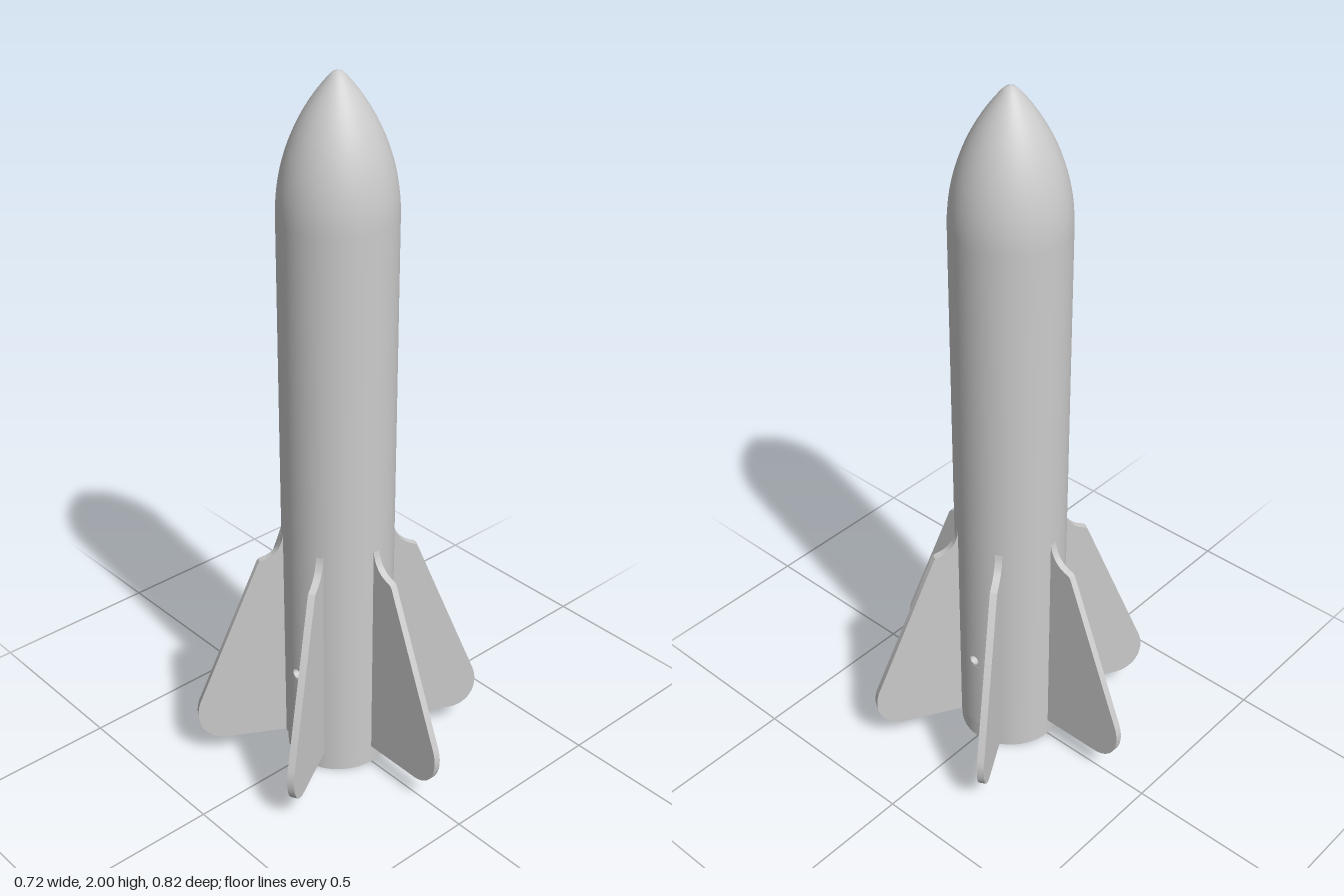
import * as THREE from 'three';
import { mergeGeometries, toCreasedNormals } from 'three/addons/utils/BufferGeometryUtils.js';

const R = 0.155, INNER = 0.135, RING = 0.145; // body, bore and tail ring radii
const BASE = 0.065, SHOULDER = 1.64;          // bottom and top of the body tube
const PIN_Y = 0.31, PIN_R = 0.015;            // cross hole through the tube
const SEGS = 48, STEP = (Math.PI * 2) / SEGS;
const LOW = PIN_Y - 0.02, HIGH = PIN_Y + 0.02;

const material = new THREE.MeshStandardMaterial({ color: 0xcccccc });

// One smooth revolved surface; rising points face outwards.
function spin(points, segs = SEGS, start = 0, length = Math.PI * 2) {
  return new THREE.LatheGeometry(points.map(([r, y]) => new THREE.Vector2(r, y)), segs, start, length);
}

// Piece of tube wall on the +x side with a round hole, bent to the tube's radius.
function pinPatch() {
  const w = STEP * R;
  const shape = new THREE.Shape();
  shape.moveTo(-w, LOW);
  shape.lineTo(w, LOW);
  shape.lineTo(w, HIGH);
  shape.lineTo(-w, HIGH);
  shape.closePath();
  const hole = new THREE.Path();
  hole.absarc(0, PIN_Y, PIN_R, 0, Math.PI * 2, true);
  shape.holes.push(hole);
  const geo = new THREE.ExtrudeGeometry(shape, { depth: R - INNER, bevelEnabled: false, curveSegments: 24 });
  const p = geo.attributes.position, n = geo.attributes.normal;
  for (let i = 0; i < p.count; i++) {
    const a = p.getX(i) / R, r = INNER + p.getZ(i), c = Math.cos(a), s = Math.sin(a);
    p.setXYZ(i, r * c, p.getY(i), -r * s);
    const nx = n.getX(i), nz = n.getZ(i);
    n.setXYZ(i, nz * c - nx * s, n.getY(i), -nz * s - nx * c);
  }
  return geo;
}

// Hollow body tube, stepped in to the tail ring
function bodyGeometry() {
  const parts = [
    spin([[R, BASE], [R, LOW]]),
    spin([[R, HIGH], [R, SHOULDER]]),
    spin([[RING, BASE], [R, BASE]]),
    spin([[INNER, SHOULDER], [INNER, HIGH]]),
    spin([[INNER, LOW], [INNER, BASE]]),
    spin([[0, SHOULDER], [INNER, SHOULDER]]),
  ];
  // Band at the height of the cross hole, left open for the two patches
  for (const side of [0, 1]) {
    const start = Math.PI / 2 + side * Math.PI + STEP, length = Math.PI - 2 * STEP;
    parts.push(spin([[R, LOW], [R, HIGH]], SEGS / 2 - 2, start, length));
    parts.push(spin([[INNER, HIGH], [INNER, LOW]], SEGS / 2 - 2, start, length));
    parts.push(pinPatch().rotateY(side * Math.PI));
  }
  return mergeGeometries(parts.map((g) => (g.index ? g.toNonIndexed() : g)));
}

// Open tail ring
function ringGeometry() {
  return mergeGeometries([
    spin([[RING, 0], [RING, BASE]]),
    spin([[INNER, 0], [RING, 0]]),
    spin([[INNER, BASE], [INNER, 0]]),
  ]);
}

// Ogive nose with a small rounded tip
function noseGeometry() {
  const length = 0.37, rho = (R * R + length * length) / (2 * R);
  const profile = [];
  for (let i = 0; i <= 24; i++) {
    const h = (0.34 * i) / 24;
    profile.push([Math.sqrt(rho * rho - h * h) - (rho - R), SHOULDER + h]);
  }
  profile.push([0.021, 1.988], [0.012, 1.996], [0, 2]);
  return spin(profile);
}

// Swept fin: concave root fillet on top, rounded outer corner
function finGeometry() {
  const s = new THREE.Shape();
  s.moveTo(0.145, BASE);
  s.lineTo(0.33, BASE);
  s.bezierCurveTo(0.39, BASE, 0.423, 0.13, 0.402, 0.195);
  s.lineTo(0.226, 0.643);
  s.quadraticCurveTo(0.222, 0.653, 0.212, 0.655);
  s.quadraticCurveTo(0.163, 0.67, 0.155, 0.725);
  s.lineTo(0.145, 0.725);
  s.closePath();
  const geo = new THREE.ExtrudeGeometry(s, { depth: 0.02, bevelEnabled: false, curveSegments: 12 });
  geo.translate(0, 0, -0.01);
  return toCreasedNormals(geo, 0.6);
}

export function createModel() {
  const model = new THREE.Group();
  model.name = 'rocket';
  const add = (name, geometry) => {
    const mesh = new THREE.Mesh(geometry, material);
    mesh.name = name;
    model.add(mesh);
    return mesh;
  };

  add('bodyTube', bodyGeometry());
  add('tailRing', ringGeometry());
  add('noseCone', noseGeometry());

  // Six fins, two of them along z
  const fin = finGeometry();
  for (let i = 0; i < 6; i++) {
    add(`fin${i + 1}`, fin).rotation.y = Math.PI / 6 + (i * Math.PI) / 3;
  }
  return model;
}
